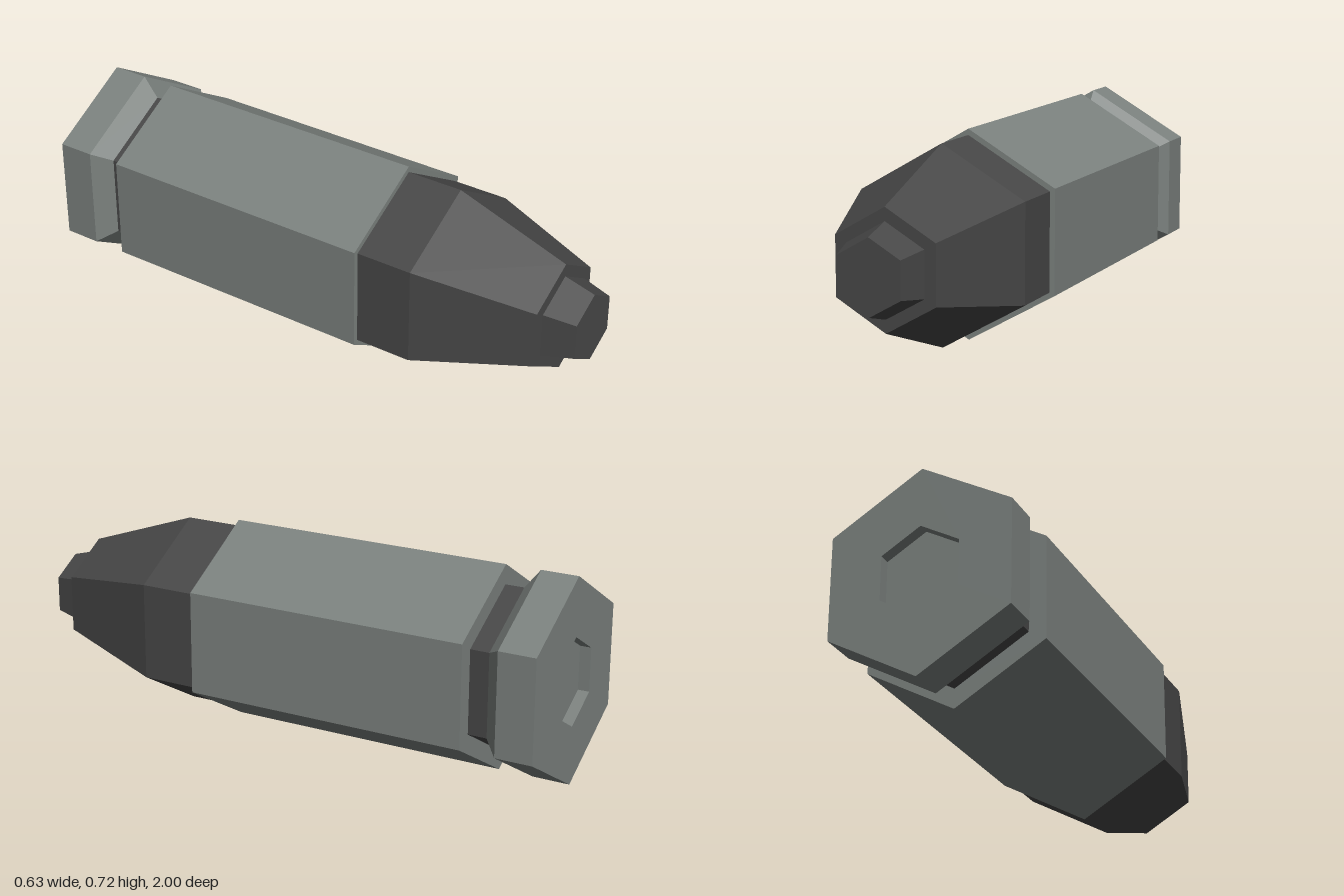
import * as THREE from 'three';

const AXIS_HEIGHT = 0.361;
const SIDES = 6;

// Turns a [radius, z] profile, listed from back to front, into a faceted hexagonal part
function hexPart(name, profile, material) {
  const points = profile.map(([r, z]) => new THREE.Vector2(r, z));
  const geometry = new THREE.LatheGeometry(points, SIDES).toNonIndexed();
  geometry.rotateX(Math.PI / 2);
  geometry.translate(0, AXIS_HEIGHT, 0);
  geometry.computeVertexNormals();
  const mesh = new THREE.Mesh(geometry, material);
  mesh.name = name;
  return mesh;
}

export function createModel() {
  const casingGrey = new THREE.MeshStandardMaterial({ color: 0x7b817e });
  casingGrey.name = 'casing grey';
  const darkGrey = new THREE.MeshStandardMaterial({ color: 0x474747 });
  darkGrey.name = 'dark grey';

  const group = new THREE.Group();
  group.name = 'cartridge';

  group.add(
    // Rear rim with the shallow primer recess and a bevel down to the groove
    hexPart('rim', [
      [0, -0.96], [0.155, -0.96], [0.155, -1], [0.361, -1],
      [0.361, -0.868], [0.292, -0.812],
    ], casingGrey),
    // Recessed ring between the rim and the casing
    hexPart('groove', [[0.292, -0.812], [0.292, -0.745]], darkGrey),
    // Main casing with its two end shoulders
    hexPart('casing', [
      [0.292, -0.745], [0.361, -0.745], [0.361, 0.28], [0.34, 0.28],
    ], casingGrey),
    // Tapered projectile
    hexPart('projectile', [
      [0.34, 0.28], [0.34, 0.485], [0.2, 0.89], [0.155, 0.89],
    ], darkGrey),
    // Small stepped nose
    hexPart('noseTip', [[0.155, 0.89], [0.125, 1], [0, 1]], darkGrey),
  );
  return group;
}
